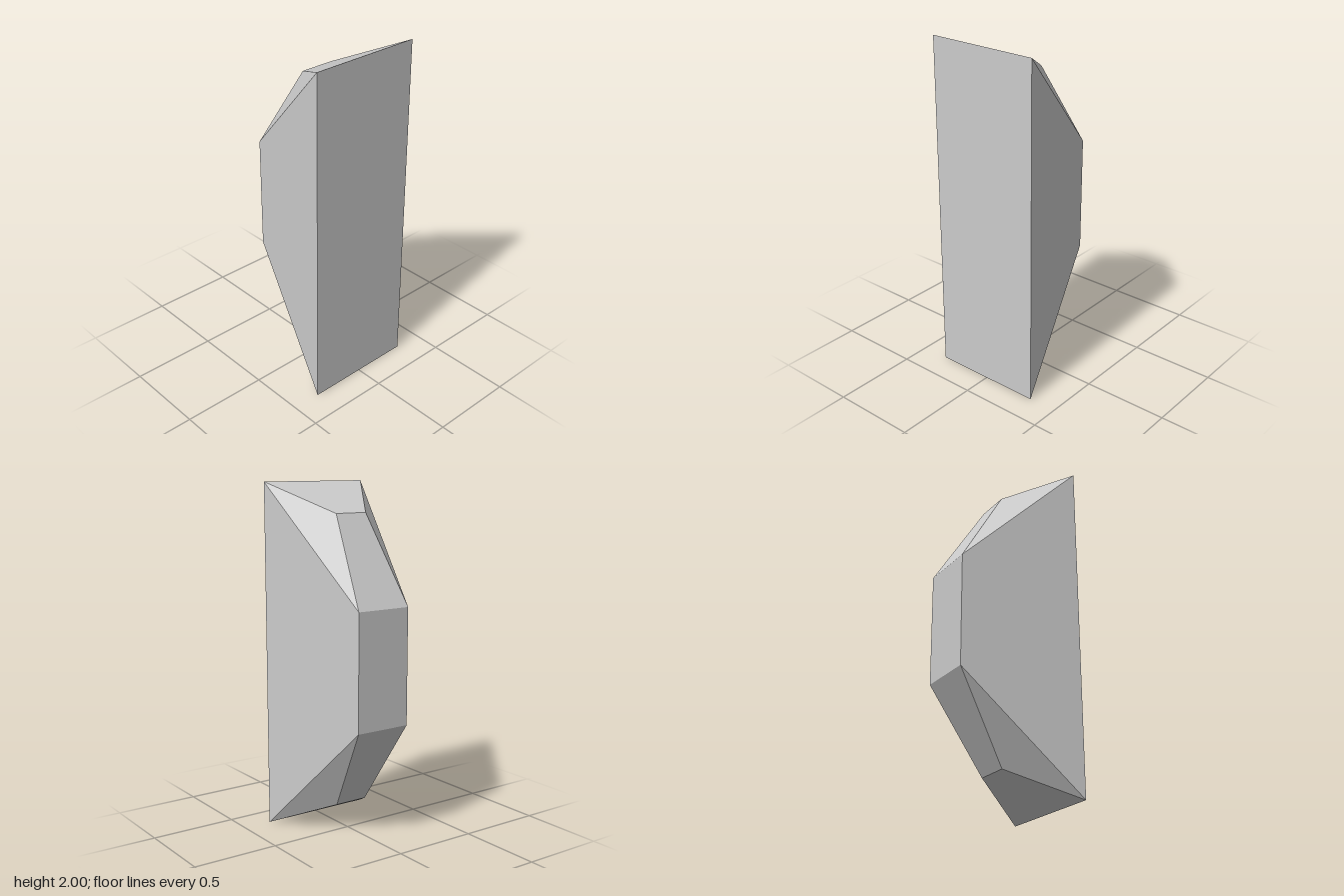
import * as THREE from 'three';
import { ConvexGeometry } from 'three/addons/geometries/ConvexGeometry.js';

// Half-profile rows: [half width, height from mid-level, z]
const ROWS = [
  [1 / 3, 1, 1 / 3],       // corners of the flat front
  [0.1, 0.833, -0.033],    // narrow ridge of the bevelled end
  [1 / 6, 1 / 3, -1 / 3],  // corners of the flat back
];

export function createModel() {
  const group = new THREE.Group();
  group.name = 'facetedBlock';

  // Mirror each row left/right and top/bottom, then wrap in flat facets
  const points = [];
  for (const [x, y, z] of ROWS)
    for (const sx of [-1, 1])
      for (const sy of [-1, 1]) points.push(new THREE.Vector3(sx * x, 1 + sy * y, z));

  const body = new THREE.Mesh(
    new ConvexGeometry(points),
    new THREE.MeshStandardMaterial({ color: 0xcccccc, flatShading: true })
  );
  body.name = 'body';
  group.add(body);
  return group;
}
